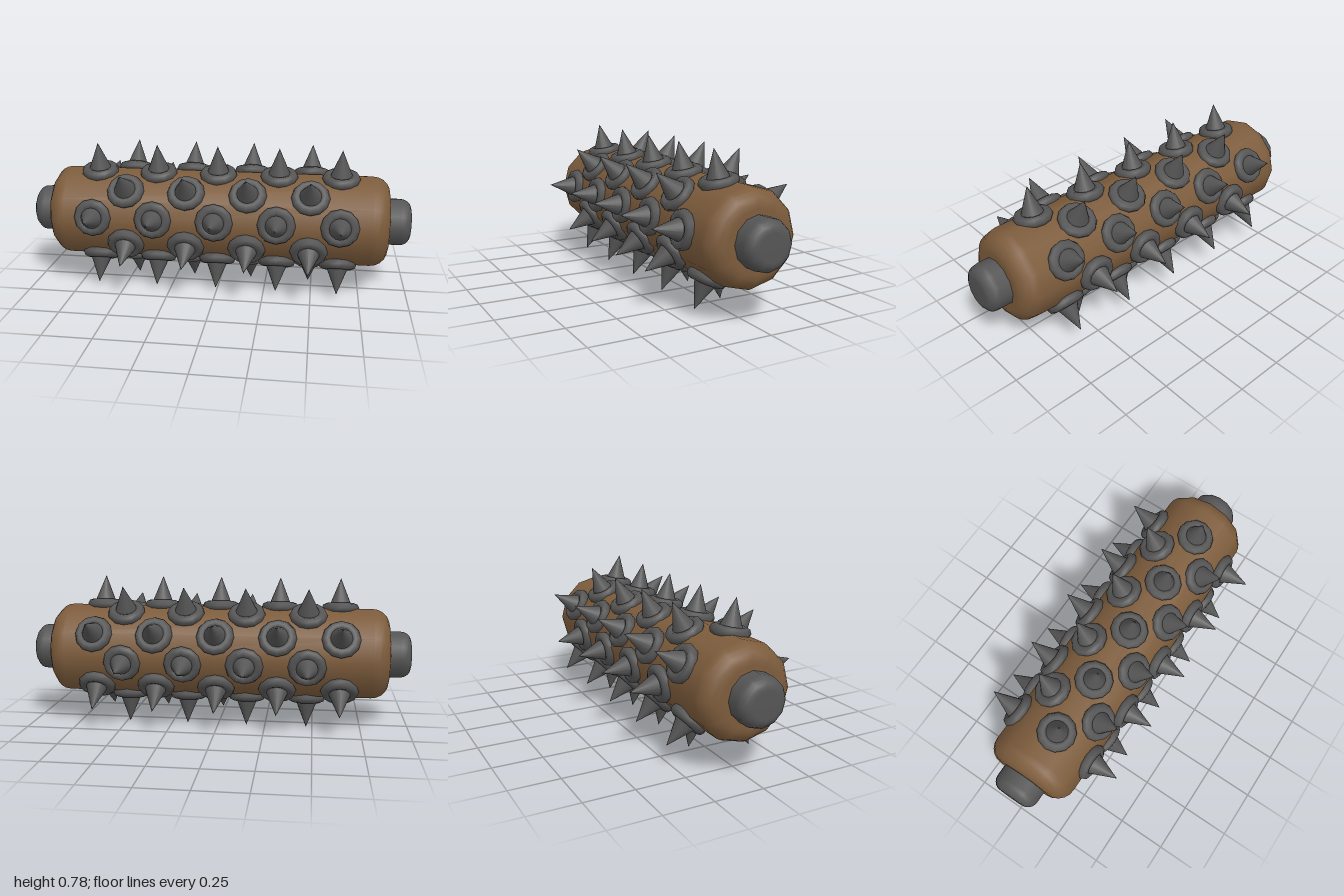
import * as THREE from 'three';

const AXIS_Y = 0.388;

// Closed profile along the axis with rounded rims, turned to lie along x
function roundedRoller(halfLength, radius, corner) {
  const points = [];
  const steps = 5;
  for (let i = 0; i <= steps; i++) {
    const a = (i / steps) * Math.PI / 2;
    points.push(new THREE.Vector2(
      radius - corner + corner * Math.sin(a),
      -halfLength + corner - corner * Math.cos(a)));
  }
  const mirrored = points.map(p => new THREE.Vector2(p.x, -p.y)).reverse();
  const profile = [new THREE.Vector2(0, -halfLength), ...points, ...mirrored, new THREE.Vector2(0, halfLength)];
  return new THREE.LatheGeometry(profile, 12).rotateZ(-Math.PI / 2);
}

export function createModel() {
  const wood = new THREE.MeshStandardMaterial({ name: 'brown wood', color: 0x7d5c3c });
  const iron = new THREE.MeshStandardMaterial({ name: 'dark iron', color: 0x555555 });
  const model = new THREE.Group();
  model.name = 'spikedRoller';

  const add = (parent, geometry, material, name) => {
    const mesh = new THREE.Mesh(geometry, material);
    mesh.name = name;
    parent.add(mesh);
    return mesh;
  };

  // Log and the axle poking out of both ends
  add(model, roundedRoller(0.887, 0.239, 0.09), wood, 'log').position.y = AXIS_Y;
  add(model, roundedRoller(1, 0.123, 0.055), iron, 'axle').position.y = AXIS_Y;

  // Spike and collar, pointing along y from the log's axis
  const spikeGeometry = new THREE.ConeGeometry(0.066, 0.165, 16).translate(0, 0.3125, 0);
  const collarGeometry = new THREE.TorusGeometry(0.07, 0.028, 8, 12)
    .rotateX(Math.PI / 2).translate(0, 0.237, 0);

  // Ten staggered rows, alternating five and four spikes
  const spacing = 0.317;
  for (let row = 0; row < 10; row++) {
    const group = new THREE.Group();
    group.name = 'spikeRow' + (row + 1);
    group.position.y = AXIS_Y;
    const angle = THREE.MathUtils.degToRad(7.3 + 36 * row);
    group.rotation.x = Math.PI / 2 - angle;
    const count = row % 2 ? 4 : 5;
    const start = row % 2 ? -0.468 : -0.634;
    for (let i = 0; i < count; i++) {
      const x = start + i * spacing;
      add(group, spikeGeometry, iron, 'spike').position.x = x;
      add(group, collarGeometry, iron, 'collar').position.x = x;
    }
    model.add(group);
  }
  return model;
}
